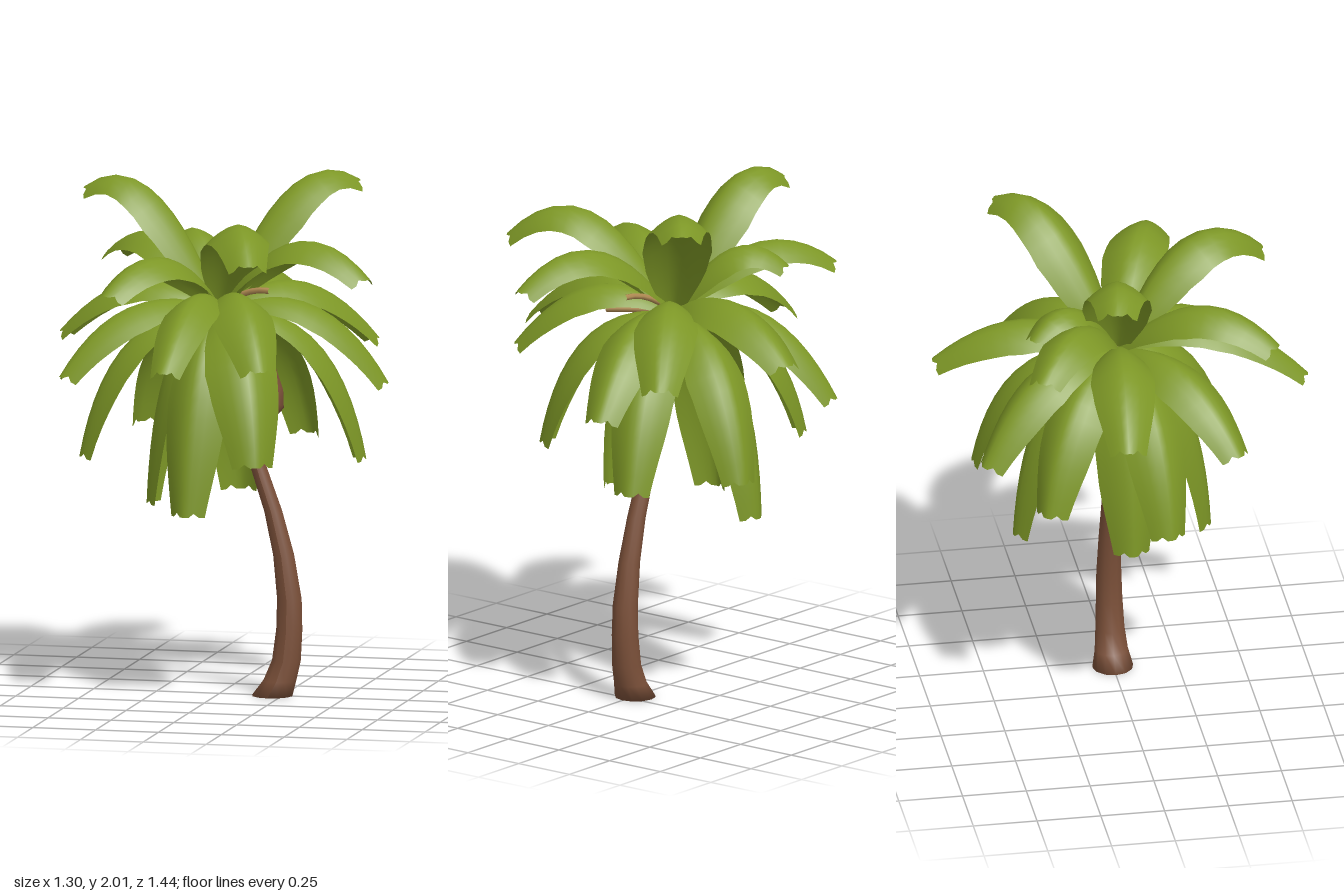
import * as THREE from 'three';

const mat = (name, color, side = THREE.FrontSide) => {
  const m = new THREE.MeshStandardMaterial({ color, side });
  m.name = name;
  return m;
};

// Piecewise linear lookup for [key, value] pairs
function lookup(pairs, k) {
  for (let i = 1; i < pairs.length; i++) {
    const [k0, v0] = pairs[i - 1], [k1, v1] = pairs[i];
    if (k <= k1) return THREE.MathUtils.lerp(v0, v1, (k - k0) / (k1 - k0));
  }
  return pairs[pairs.length - 1][1];
}

const CROWN = new THREE.Vector3(0, 1.5, -0.02);
const WIDTH = [[0, 0.025], [0.12, 0.06], [0.3, 0.105], [0.5, 0.125], [0.7, 0.115], [0.88, 0.089], [1, 0.07]];
const ROWS = 12, COLS = 8;

// Arched leaf: a bent, domed strip from the crown to its notched, blunt tip
function frondGeometry([x, y, z, widthScale = 1], bendOut, bendY) {
  const end = new THREE.Vector3(x, y, z);
  const bend = CROWN.clone().lerp(end, bendOut).setY(bendY);
  const path = new THREE.QuadraticBezierCurve3(CROWN, bend, end);
  const side = new THREE.Vector3(end.z - CROWN.z, 0, -(end.x - CROWN.x)).normalize();
  const pos = [], index = [];
  for (let i = 0; i <= ROWS; i++) {
    const t = i / ROWS;
    const p = path.getPointAt(t), tangent = path.getTangentAt(t);
    const up = new THREE.Vector3().crossVectors(tangent, side).normalize();
    const w = lookup(WIDTH, t) * widthScale;
    for (let j = 0; j <= COLS; j++) {
      const u = (j / COLS) * 2 - 1;
      const v = p.clone().addScaledVector(side, u * w)
        .addScaledVector(up, -0.62 * w * Math.pow(Math.abs(u), 1.6));
      if (i === ROWS) v.addScaledVector(tangent, j % 4 === 2 ? -0.012 : 0.004);
      pos.push(v.x, v.y, v.z);
      if (i < ROWS && j < COLS) {
        const a = i * (COLS + 1) + j, b = a + COLS + 1;
        index.push(a, a + 1, b, b, a + 1, b + 1);
      }
    }
  }
  const g = new THREE.BufferGeometry();
  g.setAttribute('position', new THREE.Float32BufferAttribute(pos, 3));
  g.setIndex(index);
  g.computeVertexNormals();
  return g;
}

// Fronds by tier: how far out and how high they bend, then tips as x, y, z and optional width
const TIERS = [
  { name: 'uprightFrond', out: 0.5, y: 2.16, tips: [[-0.56, 1.95, -0.11, 1.08], [0.45, 1.97, -0.42, 1.08]] },
  { name: 'highFrond', out: 0.5, y: 2.12, tips: [[0.26, 1.77, 0.59, 1.05]] },
  { name: 'spreadingFrond', out: 0.5, y: 2.0, tips: [[0.645, 1.68, 0.23]] },
  { name: 'upperFrond', out: 0.5, y: 1.92,
    tips: [[-0.53, 1.66, -0.4, 0.95], [-0.32, 1.63, 0.56], [-0.25, 1.7, -0.39, 0.95]] },
  { name: 'middleFrond', out: 0.5, y: 1.76,
    tips: [[-0.65, 1.39, -0.08], [0.155, 1.44, -0.715, 1.05], [-0.05, 1.36, 0.72, 0.85],
      [0.54, 1.36, -0.38], [0.29, 1.35, 0.53]] },
  { name: 'lowerFrond', out: 0.6, y: 1.68,
    tips: [[0.635, 1.22, -0.15], [-0.3, 1.19, -0.59], [-0.54, 1.28, 0.38]] },
  { name: 'droopingFrond', out: 0.8, y: 1.54,
    tips: [[0.53, 0.91, -0.22], [0.25, 0.96, 0.44, 1.15], [-0.53, 0.93, 0.11], [0.23, 0.95, -0.55], [-0.4, 1.0, -0.36]] },
  { name: 'hangingFrond', out: 0.9, y: 1.47,
    tips: [[-0.06, 0.74, 0.34], [-0.29, 0.74, 0.0], [-0.02, 0.74, -0.43]] },
];

export function createModel() {
  const model = new THREE.Group();
  const green = mat('leafGreen', 0x7d9726, THREE.DoubleSide);
  const brown = mat('barkBrown', 0x7b5039);
  const tan = mat('stalkTan', 0xb08a52);
  const add = (name, geometry, material) => {
    const mesh = new THREE.Mesh(geometry, material);
    mesh.name = name;
    model.add(mesh);
    return mesh;
  };

  // Trunk: turned profile sheared along a leaning curve
  const profile = [[0, 0], [0.08, 0], [0.065, 0.06], [0.057, 0.14], [0.052, 0.26], [0.049, 0.38], [0.042, 0.55],
    [0.036, 0.72], [0.032, 0.9], [0.03, 1.08], [0.03, 1.25], [0.045, 1.38], [0.05, 1.46], [0, 1.53]];
  const lean = [[0, 0.21], [0.06, 0.24], [0.14, 0.266], [0.26, 0.277], [0.38, 0.277], [0.55, 0.254],
    [0.72, 0.212], [0.9, 0.15], [1.08, 0.082], [1.25, 0.03], [1.38, 0.005], [1.53, 0]];
  const trunk = new THREE.LatheGeometry(profile.map(([r, y]) => new THREE.Vector2(r, y)), 12);
  const p = trunk.attributes.position;
  for (let i = 0; i < p.count; i++) {
    const y = p.getY(i);
    p.setX(i, p.getX(i) + lookup(lean, y));
    p.setZ(i, p.getZ(i) - 0.01 * y);
  }
  trunk.computeVertexNormals();
  add('trunk', trunk, brown);

  // Hanging seed pod
  const podTop = new THREE.Vector3(0.03, 1.42, 0), podEnd = new THREE.Vector3(0.25, 1.11, 0.12);
  const axis = podEnd.clone().sub(podTop), length = axis.length();
  const podProfile = [[0, 0], [0.035, 0.03], [0.07, 0.2], [0.092, 0.42], [0.095, 0.6], [0.08, 0.8], [0.05, 0.95], [0, 1]];
  const pod = add('seedPod', new THREE.LatheGeometry(
    podProfile.map(([r, t]) => new THREE.Vector2(r, t * length)), 12), brown);
  pod.position.copy(podTop);
  pod.quaternion.setFromUnitVectors(new THREE.Vector3(0, 1, 0), axis.normalize());

  // Flower stalks among the leaf bases
  for (const [x, y, z] of [[0.21, 1.59, 0.05], [0.1, 1.49, 0.23]]) {
    const mid = new THREE.Vector3(x * 0.5, y + 0.01, z * 0.5);
    const curve = new THREE.QuadraticBezierCurve3(CROWN, mid, new THREE.Vector3(x, y, z));
    add('flowerStalk', new THREE.TubeGeometry(curve, 6, 0.012, 6), tan);
  }

  // Fronds
  for (const { name, out, y, tips } of TIERS) {
    for (const tip of tips) add(name, frondGeometry(tip, out, y), green);
  }
  return model;
}
